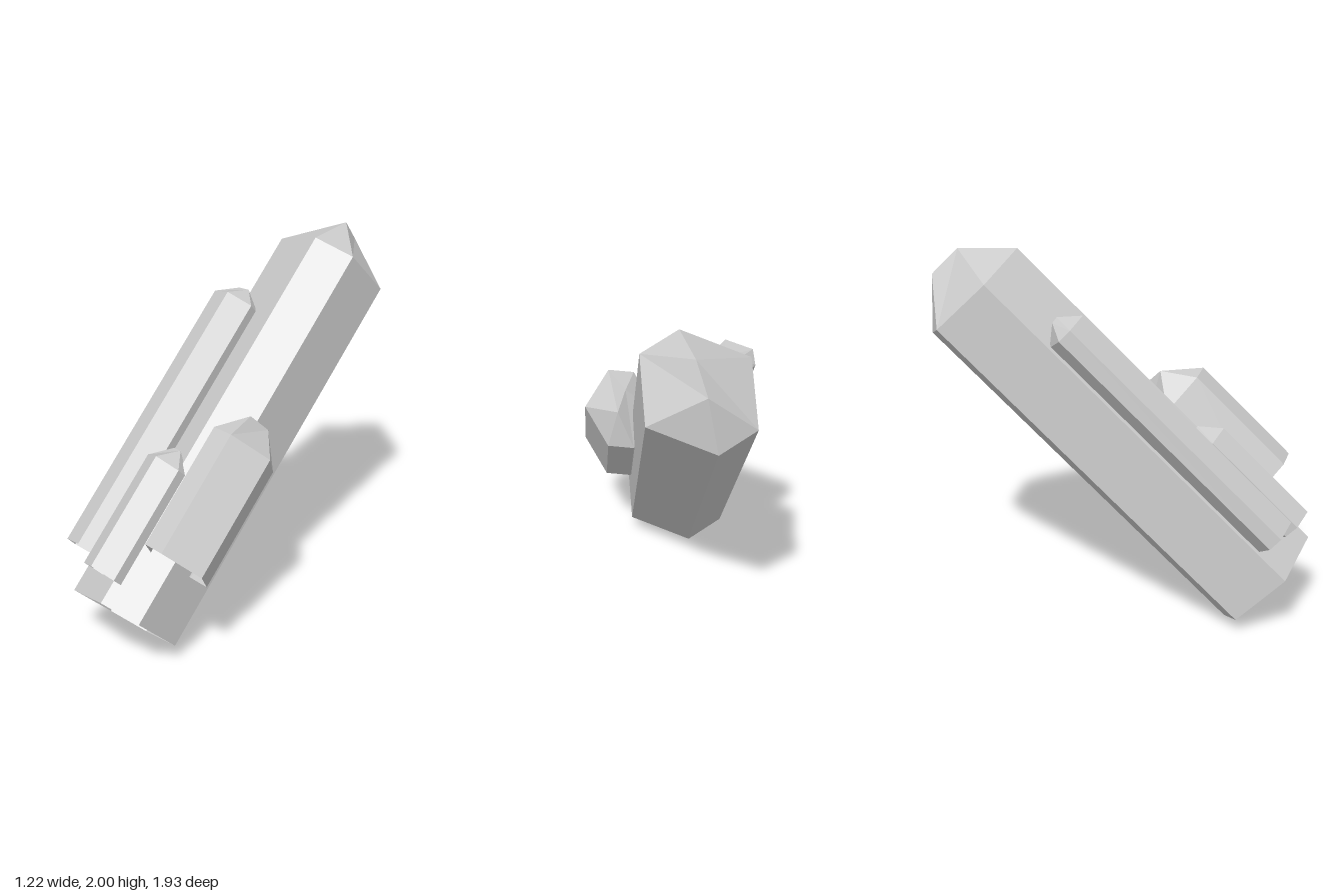
import * as THREE from 'three';

const V = (a) => new THREE.Vector3(...a);
// shared growth direction of all crystals
const AXIS = V([0.6, 1.56, -1.47]).normalize();

const material = new THREE.MeshStandardMaterial({
  color: 0xcccccc, flatShading: true, side: THREE.DoubleSide,
});

// Six-sided shaft, open at the base, closed by a roof-like tip with a short ridge.
// corners: three offsets from the base centre; the other three mirror them.
function crystal(name, { base, corners, length, tip }) {
  const centre = V(base);
  const half = corners.map(V);
  const ring = [...half, ...half.map((c) => c.clone().negate())];
  const low = ring.map((c) => c.clone().add(centre));
  const high = low.map((c) => c.clone().addScaledVector(AXIS, length));
  const peak = centre.clone().addScaledVector(AXIS, length + tip);
  const ridgeA = peak.clone().addScaledVector(half[0], 0.3);
  const ridgeB = peak.clone().addScaledVector(half[0], -0.3);

  const points = [];
  const tri = (...p) => p.forEach((v) => points.push(v.x, v.y, v.z));
  const quad = (a, b, c, d) => { tri(a, b, c); tri(a, c, d); };

  // shaft walls
  for (let i = 0; i < 6; i++) {
    const j = (i + 1) % 6;
    quad(low[i], low[j], high[j], high[i]);
  }
  // tip: two triangles at each ridge end, a quad along each side
  const ends = [[ridgeA, ridgeB, 0], [ridgeB, ridgeA, 3]];
  for (const [near, far, k] of ends) {
    const h = (n) => high[(k + n + 6) % 6];
    tri(h(-1), h(0), near);
    tri(h(0), h(1), near);
    quad(h(1), h(2), far, near);
  }

  const geometry = new THREE.BufferGeometry();
  geometry.setAttribute('position', new THREE.Float32BufferAttribute(points, 3));
  geometry.computeVertexNormals();
  const mesh = new THREE.Mesh(geometry, material);
  mesh.name = name;
  return mesh;
}

export function createModel() {
  const group = new THREE.Group();
  group.name = 'crystalCluster';
  group.add(
    crystal('mainCrystal', {
      base: [-0.275, 0.22, 0.74], length: 2.226, tip: 0.22,
      corners: [[-0.015, 0.22, 0.23], [0.195, 0.14, 0.23], [0.285, -0.11, -0.01]],
    }),
    crystal('shortWideCrystal', {
      base: [0.055, 0.64, 0.795], length: 0.685, tip: 0.16,
      corners: [[-0.125, 0.15, 0.095], [-0.005, 0.16, 0.165], [0.175, 0.015, 0.085]],
    }),
    crystal('longThinCrystal', {
      base: [-0.487, 0.56, 0.705], length: 1.55, tip: 0.085,
      corners: [[0.11, 0.015, 0.06], [0.125, -0.045, 0.005], [0.015, -0.085, -0.085]],
    }),
    crystal('shortThinCrystal', {
      base: [-0.325, 0.54, 0.86], length: 0.65, tip: 0.1,
      corners: [[0.09, 0.02, 0.065], [0.115, -0.04, 0.01], [0.03, -0.085, -0.075]],
    }),
  );
  return group;
}
